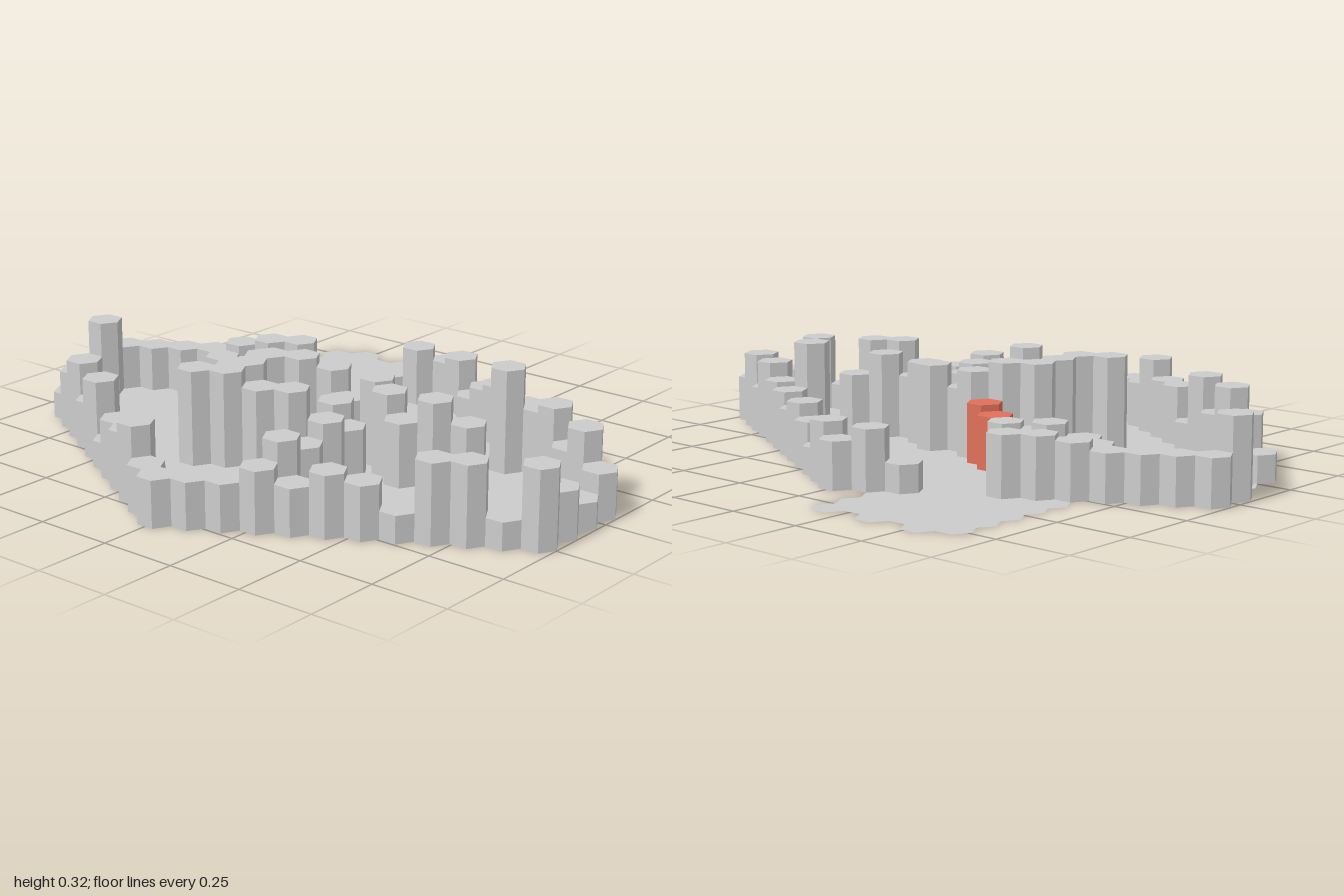
import * as THREE from 'three';
import { mergeGeometries } from 'three/addons/utils/BufferGeometryUtils.js';

// Flat-topped hexagon grid: column i along x, row k along z (odd columns use half rows)
const R = 2 / 35;
const COL = 1.5 * R;
const ROW = Math.sqrt(3) * R;

// Border walls as height runs along straight grid lines
const backRight = [0.145, 0.185, 0.085, 0.145, 0.185, 0.145, 0.185, 0.2, 0.245, 0.145, 0.24, 0.145]; // i = 0..11
const backLeft = { 1: 0.185, 2: 0.085, 5: 0.185, 6: 0.185, 7: 0.17, 8: 0.145, 9: 0.145, 10: 0.145, 11: 0.145 };
const frontRight = [0.145, 0.145, 0.145, 0.19, 0.145, 0.19, 0.165, 0.085, 0.245, 0.245, 0.085, 0.245]; // i = 0..11
const frontLeft = [0.145, 0.24, 0.185, 0.185, 0.085, 0.25, 0.15, 0.25, 0.185, 0.085]; // i = -1..-10

// Inner walls as chains of [column, row, height]
const innerWalls = {
  frontWall: [[2, 2, 0.25], [3, 2.5, 0.2], [3, 3.5, 0.25], [3, 4.5, 0.2], [3, 5.5, 0.25]],
  hookWall: [[-3, 3.5, 0.3], [-2, 3, 0.3], [-2, 2, 0.3], [-2, 1, 0.3], [-1, 0.5, 0.3],
    [-1, 2.5, 0.25], [0, 2, 0.25]],
  rightWall: [[0, 0, 0.27], [1, 0.5, 0.2], [2, 0, 0.27], [3, 0.5, 0.26], [4, 1, 0.2],
    [5, 0.5, 0.27], [6, 0, 0.2]],
  leftWall: [[-3, -1.5, 0.165], [-4, -1, 0.145], [-5, -1.5, 0.185], [-6, -1, 0.145], [-7, -1.5, 0.145]],
  tallPost: [[6, -2, 0.325]],
  sideWall: [[11, 0.5, 0.085], [11, 1.5, 0.15], [-11, 0.5, 0.25]],
};
const doorPosts = [[-1, -0.5, 0.185], [-2, -1, 0.165]];

export function createModel() {
  const model = new THREE.Group();
  const grey = new THREE.MeshStandardMaterial({ color: 0xcccccc, flatShading: true });
  const floorGrey = new THREE.MeshStandardMaterial({ color: 0xcccccc, side: THREE.DoubleSide });
  const red = new THREE.MeshStandardMaterial({ color: 0xe0705a, flatShading: true });
  const taken = new Set();

  // One hexagonal column standing on the ground
  function addColumn(group, name, [i, k, height], material) {
    const geometry = new THREE.CylinderGeometry(R, R, height, 6, 1, false, Math.PI / 6);
    const mesh = new THREE.Mesh(geometry, material);
    mesh.name = name;
    mesh.position.set(i * COL, height / 2, k * ROW);
    group.add(mesh);
    taken.add(i + ',' + k);
  }

  function addWall(name, cells, material = grey) {
    const group = new THREE.Group();
    group.name = name;
    cells.forEach((cell) => addColumn(group, name + 'Column', cell, material));
    model.add(group);
  }

  // Outer walls, leaving the gateway at the back open
  addWall('backRightBorder', backRight.map((h, i) => [i, -6 + i / 2, h]));
  addWall('backLeftBorder', Object.entries(backLeft).map(([n, h]) => [-n, -6 + n / 2, h]));
  addWall('frontRightBorder', frontRight.map((h, i) => [i, 8 - i / 2, h]));
  addWall('frontLeftBorder', frontLeft.map((h, n) => [-n - 1, 8 - (n + 1) / 2, h]));

  // Inner walls and the coloured posts
  for (const [name, cells] of Object.entries(innerWalls)) addWall(name, cells);
  addWall('colouredPosts', doorPosts, red);

  // Flat floor tiles on every free cell, with the forecourt behind the gateway
  const tiles = [];
  for (let i = -11; i <= 11; i++) {
    const a = Math.abs(i);
    const forecourt = i >= -7 && i <= -2;
    const first = forecourt ? (a % 2 ? -7.5 : -8) : -6 + a / 2;
    const last = i === -11 ? 0.5 : 8 - a / 2;
    for (let k = first; k <= last; k++) {
      if (taken.has(i + ',' + k)) continue;
      const tile = new THREE.CircleGeometry(R, 6);
      tile.rotateX(-Math.PI / 2);
      tile.translate(i * COL, 0, k * ROW);
      tiles.push(tile);
    }
  }
  const floor = new THREE.Mesh(mergeGeometries(tiles), floorGrey);
  floor.name = 'floor';
  model.add(floor);

  return model;
}
